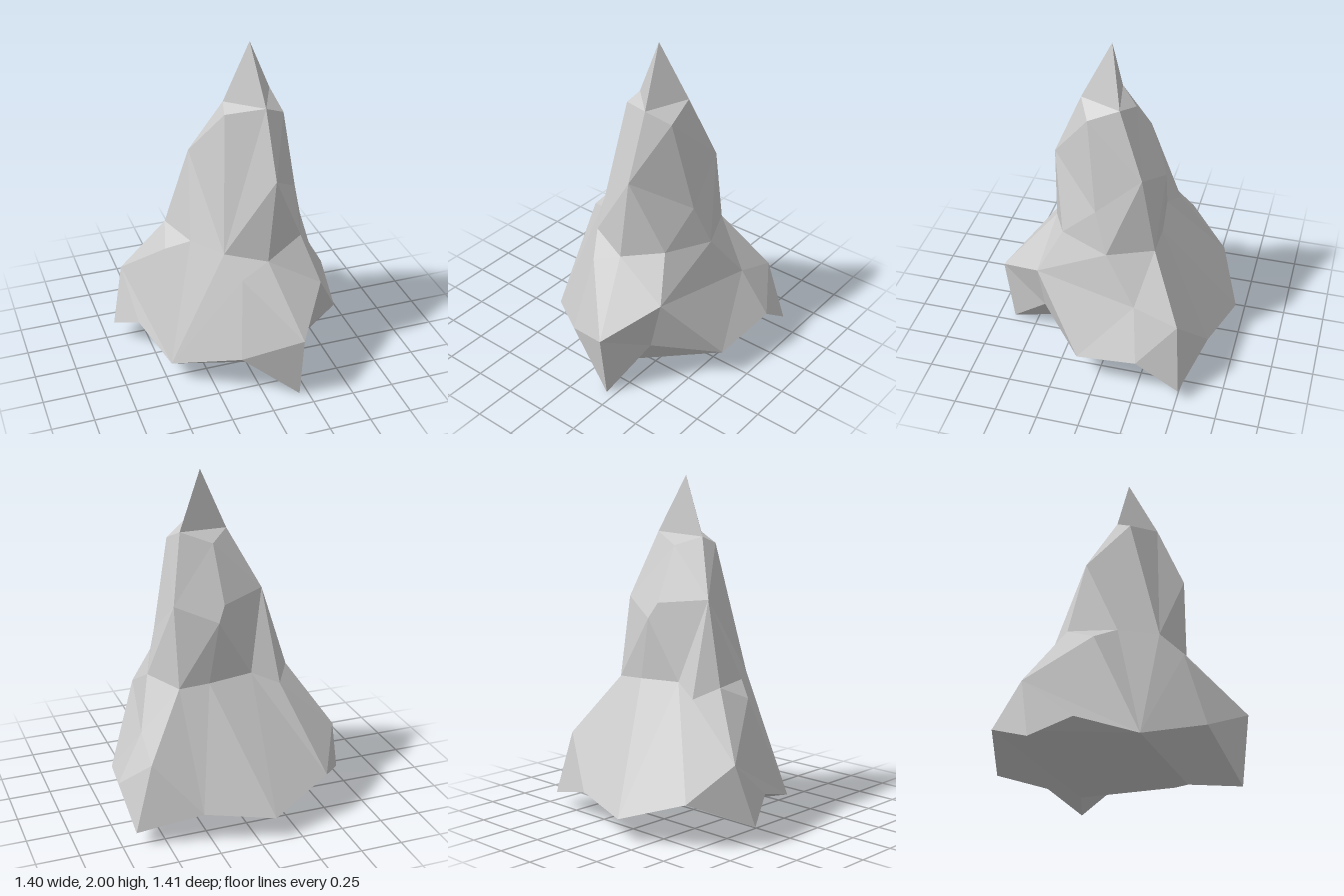
import * as THREE from 'three';

// Corner points shared by neighbouring cross-sections
const backRight = [0.30, 0.18, -0.61], backTip = [-0.10, 0.13, -0.71], backLeft = [-0.48, 0.26, -0.56];
const sideFoot = [-0.48, 0.13, 0.30], frontShoulder = [-0.15, 0.83, 0.30];
const capFront = [0.13, 1.66, 0.20], capLeft = [0.24, 1.67, -0.05], capRight = [-0.06, 1.65, 0.01];
const chestFront = [0.14, 1.28, 0.36], chestSide = [0.37, 1.06, 0.06], chestBack = [0.33, 1.29, -0.20];
const chestRight = [-0.23, 1.31, -0.12];

// Cross-sections from the tip down, each running front, +x, back, -x
const tip = [[0.09, 2, 0.03]];
const cap = [capFront, capLeft, capRight];
const neck = [capFront, [0.26, 1.59, 0.13], capLeft, [0.06, 1.60, -0.10], capRight, [-0.08, 1.61, 0.10]];
const chest = [chestFront, chestSide, chestBack, [0.045, 1.28, -0.25], chestRight, frontShoulder];
const chestLow = [chestFront, chestSide, chestBack, [0.09, 1.19, -0.285], chestRight, frontShoulder];
const waist = [
  [0.09, 0.78, 0.38], [0.33, 0.85, 0.27], [0.44, 0.82, -0.02], [0.33, 0.82, -0.28], [0.15, 0.83, -0.285],
  [-0.12, 0.84, -0.25], [-0.28, 0.77, -0.30], [-0.37, 0.83, -0.17], [-0.29, 0.83, 0.10], frontShoulder,
];
const skirt = [
  [0.20, 0.41, 0.70], [0.41, 0.59, 0.41], [0.54, 0.55, -0.21], [0.56, 0.47, -0.47], backRight, backTip,
  backLeft, [-0.62, 0.46, -0.32], [-0.42, 0.75, 0.01], sideFoot, [-0.08, 0.71, 0.42],
];
const rim = [
  [0.20, 0, 0.65], [0.33, 0.26, 0.40], [0.64, 0.18, 0.11], [0.70, 0.27, -0.26], [0.67, 0.08, -0.51], backRight,
  backTip, backLeft, [-0.70, 0.11, -0.24], [-0.59, 0.23, -0.03], sideFoot, [-0.13, 0.26, 0.56],
];
const underside = [[0.15, 0.03, 0.35], [0.44, 0.12, -0.42], backLeft];

// Stitch two closed rings; each letter steps along the lower (L) or upper (U) ring
function stitch(out, lower, upper, steps) {
  let i = 0, j = 0;
  for (const step of steps) {
    const a = lower[i % lower.length], b = upper[j % upper.length];
    const c = step === 'L' ? lower[++i % lower.length] : upper[++j % upper.length];
    if (a !== b && b !== c && a !== c) out.push(...a, ...c, ...b);
  }
}

export function createModel() {
  const stone = new THREE.MeshStandardMaterial({ color: 0xcccccc });
  stone.name = 'stone grey';
  stone.flatShading = true;

  const positions = [];
  stitch(positions, cap, tip, 'LLL');
  stitch(positions, neck, cap, 'LLULLULLU');
  stitch(positions, chest, neck, 'ULLUULLUULUL');
  stitch(positions, chestLow, chest, 'LULULUULLULU');
  stitch(positions, waist, chestLow, 'LULULULLULLLLULU');
  stitch(positions, skirt, waist, 'LUULULLULULULULULULUL');
  stitch(positions, rim, skirt, 'LULULULLULULULULLUULUUL');
  stitch(positions, underside, rim, 'UULUUUUULUUULUU');
  stitch(positions, [backLeft], underside, 'UUU');

  const geometry = new THREE.BufferGeometry();
  geometry.setAttribute('position', new THREE.Float32BufferAttribute(positions, 3));
  geometry.computeVertexNormals();

  const spire = new THREE.Mesh(geometry, stone);
  spire.name = 'rockSpire';
  const group = new THREE.Group();
  group.name = 'rock';
  group.add(spire);
  return group;
}
